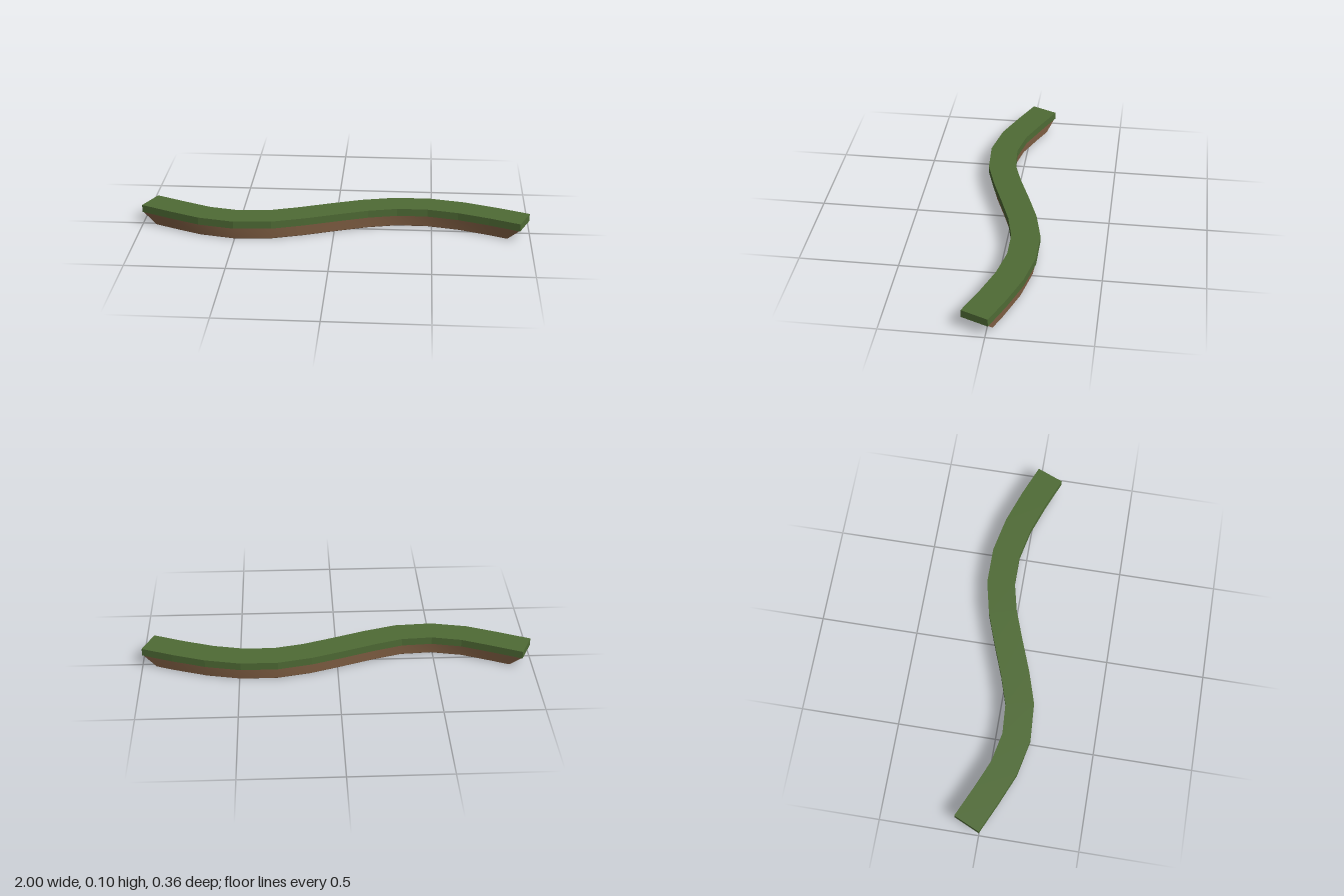
import * as THREE from 'three';
import { toCreasedNormals } from 'three/addons/utils/BufferGeometryUtils.js';

// Centre line of the winding strip, as [x, z]
const PATH = [
  [-0.971, -0.063], [-0.815, 0.008], [-0.665, 0.072], [-0.498, 0.107], [-0.325, 0.096],
  [-0.171, 0.048], [0, -0.016], [0.153, -0.07], [0.313, -0.106], [0.484, -0.106],
  [0.653, -0.07], [0.816, -0.012], [0.971, 0.052],
];
const curve = new THREE.CatmullRomCurve3(PATH.map(([x, z]) => new THREE.Vector3(x, 0, z)));

// Sweeps a closed profile of [across, y, endInset] points along the path
function sweep(profile, crease) {
  const n = profile.length, last = PATH.length - 1;
  const positions = [], index = [];
  PATH.forEach(([x, z], i) => {
    const t = curve.getTangent(i / last);
    const end = i === 0 ? 1 : i === last ? -1 : 0;
    for (const [across, y, inset] of profile) {
      positions.push(x - t.z * across + t.x * inset * end, y, z + t.x * across + t.z * inset * end);
    }
  });
  for (let i = 0; i < last; i++) {
    for (let j = 0; j < n; j++) {
      const a = i * n + j, b = i * n + (j + 1) % n;
      index.push(a, a + n, b, b, a + n, b + n);
    }
  }
  // End caps
  const e = last * n;
  for (let j = 1; j < n - 1; j++) index.push(0, j, j + 1, e, e + j + 1, e + j);
  const geometry = new THREE.BufferGeometry();
  geometry.setAttribute('position', new THREE.Float32BufferAttribute(positions, 3));
  geometry.setIndex(index);
  return toCreasedNormals(geometry, crease);
}

// Mirrors one half of a profile (bottom to top) onto the other side
const mirrored = (half) => [...half, ...half.map(([a, y, i]) => [-a, y, i]).reverse()];

export function createModel() {
  const grass = new THREE.MeshStandardMaterial({ color: 0x4f6b35 });
  grass.name = 'grass green';
  const earth = new THREE.MeshStandardMaterial({ color: 0x8b6749 });
  earth.name = 'earth brown';

  const group = new THREE.Group();
  group.name = 'windingGroundStrip';

  // Flat faceted turf slab
  const turf = new THREE.Mesh(sweep(mirrored([[0.072, 0.064, 0], [0.072, 0.103, 0]]), 0.01), grass);
  turf.name = 'turf';

  // Tapered soil bank with slanted ends and a small bevel along its foot
  const soil = new THREE.Mesh(
    sweep(mirrored([[0.051, 0, 0.074], [0.056, 0.004, 0.069], [0.068, 0.064, 0.004]]), 0.55), earth);
  soil.name = 'soil';

  group.add(turf, soil);
  return group;
}
